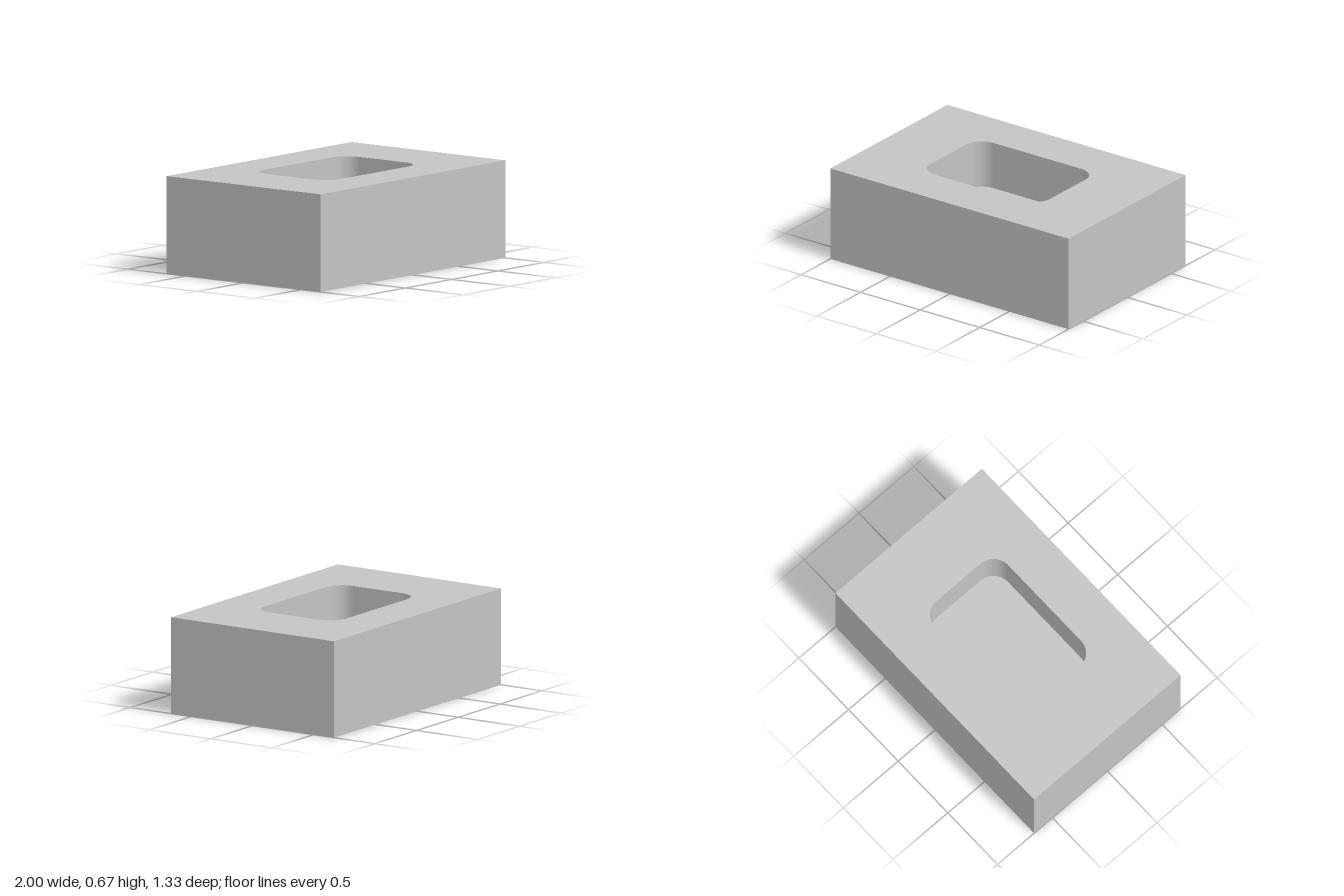
import * as THREE from 'three';

const WIDTH = 2, DEPTH = 4 / 3, HEIGHT = 2 / 3;
const POCKET = { width: 1, depth: 2 / 3, radius: 0.133, floor: 1 / 3 };

// Rounded rectangle centred on the origin
function roundedRect(path, w, d, r) {
  const x = w / 2 - r, y = d / 2 - r;
  path.moveTo(x, -y - r);
  path.absarc(x, -y, r, -Math.PI / 2, 0);
  path.absarc(x, y, r, 0, Math.PI / 2);
  path.absarc(-x, y, r, Math.PI / 2, Math.PI);
  path.absarc(-x, -y, r, Math.PI, Math.PI * 1.5);
  path.closePath();
  return path;
}

export function createModel() {
  const model = new THREE.Group();
  model.name = 'pocketedBlock';
  const grey = new THREE.MeshStandardMaterial({ color: 0xc4c4c4 });
  grey.name = 'light grey';

  const add = (name, geometry, y) => {
    const mesh = new THREE.Mesh(geometry, grey);
    mesh.name = name;
    mesh.position.y = y;
    model.add(mesh);
  };

  // Solid lower half; its top face is the pocket floor
  add('base', new THREE.BoxGeometry(WIDTH, POCKET.floor, DEPTH), POCKET.floor / 2);

  // Upper half with the rounded pocket cut through it
  const outline = new THREE.Shape([
    new THREE.Vector2(-WIDTH / 2, -DEPTH / 2),
    new THREE.Vector2(WIDTH / 2, -DEPTH / 2),
    new THREE.Vector2(WIDTH / 2, DEPTH / 2),
    new THREE.Vector2(-WIDTH / 2, DEPTH / 2),
  ]);
  outline.holes.push(roundedRect(new THREE.Path(), POCKET.width, POCKET.depth, POCKET.radius));
  const rim = new THREE.ExtrudeGeometry(outline, {
    depth: HEIGHT - POCKET.floor, bevelEnabled: false, curveSegments: 16,
  });
  rim.rotateX(-Math.PI / 2);
  add('pocketRim', rim, POCKET.floor);

  return model;
}
